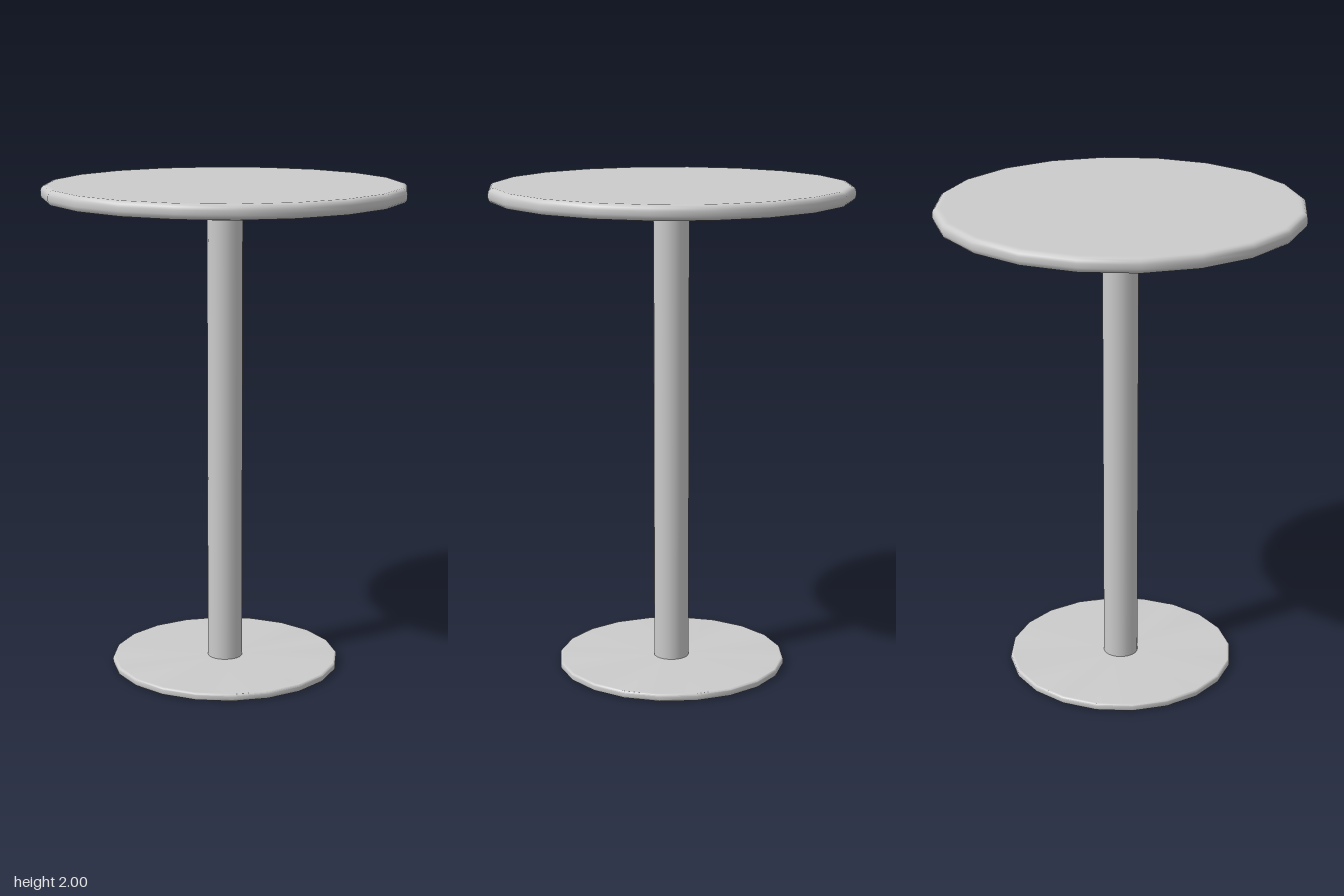
import * as THREE from 'three';
import { toCreasedNormals } from 'three/addons/utils/BufferGeometryUtils.js';

const SIDES = 20;
const material = new THREE.MeshStandardMaterial({ color: 0xcccccc });

// Solid disc with a rounded rim; an inner ring keeps the broad faces shading flat
function disc(name, radius, bottom, top, round) {
  const points = [[0, bottom], [radius - round * 1.5, bottom]];
  for (const [centreY, start] of [[bottom + round, -90], [top - round, 0]]) {
    for (let i = 0; i <= 3; i++) {
      const a = THREE.MathUtils.degToRad(start + i * 30);
      points.push([radius - round + round * Math.cos(a), centreY + round * Math.sin(a)]);
    }
  }
  points.push([radius - round * 1.5, top], [0, top]);
  const profile = points.map(([r, y]) => new THREE.Vector2(r, y));
  const geometry = toCreasedNormals(new THREE.LatheGeometry(profile, SIDES), 0.7);
  const mesh = new THREE.Mesh(geometry, material);
  mesh.name = name;
  return mesh;
}

export function createModel() {
  const group = new THREE.Group();
  group.name = 'pedestalTable';

  group.add(disc('tableTop', 0.73, 1.94, 2, 0.022));
  group.add(disc('footPlate', 0.47, 0, 0.03, 0.008));

  // Central column between foot plate and top
  const column = new THREE.Mesh(new THREE.CylinderGeometry(0.072, 0.072, 1.93, SIDES), material);
  column.name = 'column';
  column.position.y = 0.985;
  group.add(column);

  return group;
}
